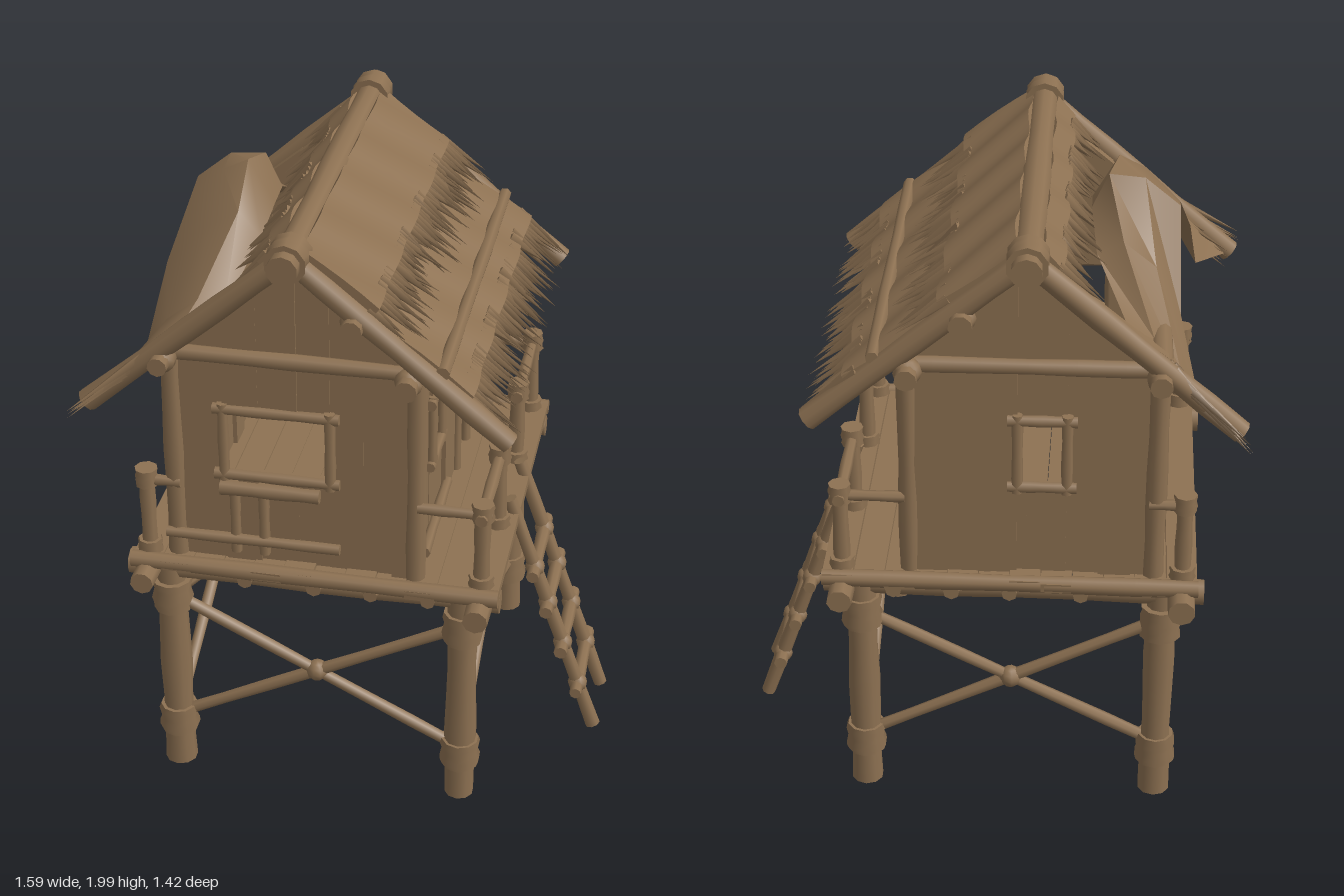
import * as THREE from 'three';
import { mergeGeometries, toCreasedNormals } from 'three/addons/utils/BufferGeometryUtils.js';

const wood = new THREE.MeshStandardMaterial({ color: 0x8d7152 });
wood.name = 'weatheredWood';
const thatchMat = new THREE.MeshStandardMaterial({ color: 0x8d7152, side: THREE.DoubleSide });
thatchMat.name = 'dryThatch';

let seed = 7;
const rand = (a = 0, b = 1) => {
  seed = (seed * 16807) % 2147483647;
  return a + (b - a) * (seed / 2147483647);
};
const V = (x, y, z) => new THREE.Vector3(x, y, z);
const UP = V(0, 1, 0);

function add(parent, name, geometry, material = wood) {
  const mesh = new THREE.Mesh(geometry, material);
  mesh.name = name;
  parent.add(mesh);
  return mesh;
}

// Slightly knobbly log between two points
function log(parent, name, a, b, r, sides = 9) {
  const len = a.distanceTo(b);
  const geo = new THREE.CylinderGeometry(r * 0.95, r, len, sides, 6);
  const p = geo.attributes.position, phase = rand(0, 6);
  for (let i = 0; i < p.count; i++) {
    const s = 1 + 0.07 * Math.sin(phase + (p.getY(i) / len) * 11);
    p.setX(i, p.getX(i) * s);
    p.setZ(i, p.getZ(i) * s);
  }
  const mesh = add(parent, name, geo);
  mesh.position.copy(a).lerp(b, 0.5);
  mesh.quaternion.setFromUnitVectors(UP, b.clone().sub(a).normalize());
  return mesh;
}

// Rope-like knot
function knot(parent, name, at, r) {
  const mesh = add(parent, name, new THREE.SphereGeometry(r, 9, 6));
  mesh.position.copy(at);
}

// Wall of upright planks in local (u, y), facing local +z, with framed openings
function plankWall(parent, name, breaks, top, openings, d, rotY) {
  const wall = new THREE.Group();
  wall.name = name;
  wall.rotation.y = rotY;
  parent.add(wall);
  const board = (u0, u1, ya, yb0, yb1) => {
    if (yb0 - ya < 0.01) return;
    const s = new THREE.Shape();
    s.moveTo(u0, ya).lineTo(u1, ya).lineTo(u1, yb1).lineTo(u0, yb0).closePath();
    const geo = new THREE.ExtrudeGeometry(s, { depth: 0.03, bevelEnabled: false });
    add(wall, 'wallPlank', geo).position.z = d - 0.015 + rand(-0.008, 0.008);
  };
  for (let i = 0; i < breaks.length - 1; i++) {
    const u0 = breaks[i], u1 = breaks[i + 1];
    const o = openings.find(q => u0 > q[0] - 0.001 && u1 < q[1] + 0.001);
    if (o) board(u0, u1, 0.82, o[2], o[2]);
    board(u0, u1, o ? o[3] : 0.82, top(u0), top(u1));
  }
  for (const [u0, u1, y0, y1] of openings) {
    const z = d + 0.02, r = 0.018;
    for (const u of [u0, u1]) log(wall, 'openingJamb', V(u, y0 - 0.02, z), V(u, y1 + 0.02, z), r, 7);
    for (const y of y0 > 0.9 ? [y0, y1] : [y1]) log(wall, 'openingRail', V(u0 - 0.03, y, z), V(u1 + 0.03, y, z), r, 7);
  }
  return wall;
}

// Thatch tier: thick sheet from a to b, then a ragged fringe reaching c
function thatch(parent, name, a, b, c, z0, z1, count) {
  const len = Math.hypot(b[0] - a[0], b[1] - a[1]);
  const geo = new THREE.BoxGeometry(len, 0.035, z1 - z0, 4, 1, 32);
  const p = geo.attributes.position;
  for (let i = 0; i < p.count; i++) p.setY(i, p.getY(i) + 0.008 * Math.sin(p.getZ(i) * 23 + p.getX(i) * 9));
  geo.rotateZ(Math.atan2(b[1] - a[1], b[0] - a[0]) + (b[0] < a[0] ? Math.PI : 0));
  geo.translate((a[0] + b[0]) / 2, (a[1] + b[1]) / 2, (z0 + z1) / 2);
  add(parent, name + 'Sheet', toCreasedNormals(geo, 0.7), thatchMat);
  const blades = [];
  for (let i = 0; i < count; i++) {
    const z = z0 + (z1 - z0) * (i + 0.5) / count, k = rand(0.45, 1.05);
    const from = V(b[0], b[1] + rand(-0.01, 0.01), z).lerp(V(a[0], a[1], z), 0.1);
    const to = V(b[0] + (c[0] - b[0]) * k, b[1] + (c[1] - b[1]) * k + rand(-0.015, 0.015), z + rand(-0.02, 0.02));
    blades.push(blade(from, to, rand(0.012, 0.022)));
  }
  add(parent, name + 'Fringe', mergeGeometries(blades), thatchMat);
}

function blade(from, to, r) {
  const geo = new THREE.ConeGeometry(r, from.distanceTo(to), 4);
  geo.applyQuaternion(new THREE.Quaternion().setFromUnitVectors(UP, to.clone().sub(from).normalize()));
  return geo.translate((from.x + to.x) / 2, (from.y + to.y) / 2, (from.z + to.z) / 2);
}

export function createModel() {
  const hut = new THREE.Group();
  hut.name = 'stiltHut';
  const XL = -0.55, XR = 0.385, Z = 0.53;

  // Stilts with lashings
  for (const x of [XL, XR]) for (const z of [-Z, Z]) {
    log(hut, 'stilt', V(x, 0, z), V(x, 0.78, z), 0.05, 10);
    log(hut, 'lowerLashing', V(x, 0.12, z), V(x, 0.22, z), 0.064, 10);
    log(hut, 'upperLashing', V(x, 0.61, z), V(x, 0.72, z), 0.064, 10);
  }
  // Cross braces on all four sides
  const brace = (x0, z0, x1, z1) => {
    log(hut, 'brace', V(x0, 0.18, z0), V(x1, 0.66, z1), 0.02, 7);
    log(hut, 'brace', V(x0, 0.66, z0), V(x1, 0.18, z1), 0.02, 7);
    knot(hut, 'braceKnot', V((x0 + x1) / 2, 0.42, (z0 + z1) / 2), 0.036);
  };
  for (const z of [-Z, Z]) brace(XL, z, XR, z);
  for (const x of [XL, XR]) brace(x, -Z, x, Z);

  // Deck frame, joists and boards
  for (const z of [-Z, Z]) {
    log(hut, 'deckBeam', V(-0.68, 0.77, z), V(0.5, 0.77, z), 0.04);
    log(hut, 'deckEdge', V(-0.66, 0.815, z * 1.1), V(0.5, 0.815, z * 1.1), 0.028);
  }
  for (const x of [-0.61, 0.44]) log(hut, 'deckBeam', V(x, 0.775, -0.66), V(x, 0.775, 0.66), 0.042);
  for (const x of [-0.3, -0.08, 0.1, 0.28]) log(hut, 'joist', V(x, 0.77, -0.58), V(x, 0.77, 0.58), 0.026, 7);
  for (let i = 0; i < 12; i++) {
    const m = add(hut, 'deckBoard', new THREE.BoxGeometry(0.094, 0.03, rand(1.16, 1.22)));
    m.position.set(-0.61 + i * 0.0965, 0.815 + rand(-0.006, 0.006), 0);
  }

  // Railings
  const railPost = (x, z) => {
    log(hut, 'railPost', V(x, 0.78, z), V(x, 1.13, z), 0.026, 8);
    log(hut, 'railLashing', V(x, 1.07, z), V(x, 1.13, z), 0.036, 8);
    log(hut, 'postFoot', V(x, 0.82, z), V(x, 0.87, z), 0.04, 8);
  };
  for (const s of [-1, 1]) {
    for (const [x, z] of [[0.44, 0.54], [0.44, 0.2], [-0.61, 0.54]]) railPost(x, z * s);
    log(hut, 'sideRail', V(0.44, 1.09, 0.16 * s), V(0.44, 1.09, 0.58 * s), 0.02, 7);
    log(hut, 'endRail', V(0.24, 1.09, 0.54 * s), V(0.47, 1.09, 0.54 * s), 0.018, 7);
    log(hut, 'endRail', V(-0.64, 1.09, 0.54 * s), V(-0.5, 1.09, 0.54 * s), 0.018, 7);
  }

  // Walls
  const gable = c => u => 1.93 - 0.83 * Math.abs(u - c);
  const front = plankWall(hut, 'frontWall', [-0.54, -0.45, -0.36, -0.25, -0.13, -0.03, 0.07, 0.16, 0.25],
    gable(-0.13), [[-0.36, -0.03, 1.14, 1.37]], 0.52, 0);
  log(front, 'frontLowRail', V(-0.55, 0.91, 0.55), V(0, 0.91, 0.55), 0.018, 7);
  log(front, 'frontSillRail', V(-0.37, 1.1, 0.555), V(-0.06, 1.1, 0.555), 0.024, 7);
  for (const x of [-0.33, -0.24]) log(front, 'frontBatten', V(x, 0.86, 0.54), V(x, 1.12, 0.54), 0.018, 7);
  plankWall(hut, 'backWall', [-0.25, -0.16, -0.07, 0.02, 0.1, 0.13, 0.25, 0.35, 0.45, 0.54],
    gable(0.13), [[0.1, 0.25, 1.14, 1.37]], 0.52, Math.PI);
  const right = plankWall(hut, 'rightWall', [-0.53, -0.46, -0.36, -0.27, -0.19, -0.1, 0, 0.12, 0.22, 0.31, 0.42, 0.53],
    () => 1.57, [[-0.36, -0.19, 1.14, 1.36], [0.12, 0.31, 0.82, 1.37]], 0.23, Math.PI / 2);
  log(right, 'rightLowRail', V(-0.5, 0.9, 0.255), V(-0.08, 0.9, 0.255), 0.018, 7);
  plankWall(hut, 'leftWall', [-0.53, -0.43, -0.31, -0.22, -0.12, 0, 0.1, 0.22, 0.32, 0.43, 0.53],
    () => 1.57, [[-0.31, -0.12, 1.11, 1.37]], 0.52, -Math.PI / 2);
  for (const x of [-0.52, 0.23]) for (const z of [-0.52, 0.52])
    log(hut, 'cornerPost', V(x, 0.82, z), V(x, 1.58, z), 0.034);

  // Roof frame
  log(hut, 'ridgePole', V(-0.13, 1.93, -0.69), V(-0.13, 1.93, 0.69), 0.046, 10);
  for (const [x, y] of [[0.06, 1.74], [0.22, 1.56], [-0.52, 1.56]])
    log(hut, 'purlin', V(x, y, -0.66), V(x, y, 0.66), 0.034);
  log(hut, 'thatchBinder', V(0.32, 1.605, -0.61), V(0.32, 1.605, 0.61), 0.022, 7);
  for (const s of [-1, 1]) {
    log(hut, 'rightRafter', V(-0.13, 1.93, 0.6 * s), V(0.52, 1.39, 0.6 * s), 0.036);
    log(hut, 'leftRafter', V(-0.13, 1.93, 0.6 * s), V(-0.76, 1.39, 0.6 * s), 0.036);
    log(hut, 'tieBeam', V(-0.56, 1.56, 0.55 * s), V(0.29, 1.56, 0.55 * s), 0.026, 8);
    log(hut, 'ridgeLashing', V(-0.13, 1.93, 0.56 * s), V(-0.13, 1.93, 0.65 * s), 0.062, 10);
    for (const [x, y] of [[0.06, 1.74], [0.22, 1.56], [-0.52, 1.56]])
      knot(hut, 'purlinKnot', V(x, y, 0.6 * s), 0.044);
  }

  // Right slope thatch, upper layer lapping over the lower
  thatch(hut, 'lowerThatch', [0.08, 1.765], [0.4, 1.52], [0.54, 1.41], -0.6, 0.6, 80);
  thatch(hut, 'upperThatch', [-0.1, 1.945], [0.12, 1.775], [0.28, 1.66], -0.6, 0.6, 64);
  // Remains of the left slope
  thatch(hut, 'leftThatch', [-0.16, 1.935], [-0.22, 1.875], [-0.35, 1.755], -0.56, 0.56, 50);

  // Torn thatch sheet, heaved up in the middle: [z, inner to outer x, y pairs]
  const end = [-0.5, 1.6, -0.58, 1.56, -0.66, 1.48, -0.74, 1.4];
  const sections = [
    [-0.56, ...end],
    [-0.4, -0.42, 1.62, -0.5, 1.58, -0.58, 1.48, -0.65, 1.33],
    [-0.2, -0.32, 1.76, -0.4, 1.8, -0.5, 1.72, -0.58, 1.56],
    [-0.04, -0.3, 1.84, -0.35, 1.95, -0.46, 1.94, -0.57, 1.85],
    [0.06, -0.3, 1.83, -0.38, 1.97, -0.46, 1.93, -0.57, 1.82],
    [0.2, -0.31, 1.78, -0.38, 1.86, -0.48, 1.8, -0.61, 1.67],
    [0.4, -0.38, 1.64, -0.46, 1.66, -0.56, 1.58, -0.64, 1.44],
    [0.56, ...end],
  ];
  const pos = [], idx = [];
  sections.forEach(([z, ...q], i) => {
    for (let j = 0; j < 4; j++) {
      pos.push(q[2 * j], q[2 * j + 1], z);
      if (i && j) {
        const b = i * 4 + j, a = b - 4;
        idx.push(a - 1, b - 1, a, a, b - 1, b);
      }
    }
  });
  const sheet = new THREE.BufferGeometry();
  sheet.setAttribute('position', new THREE.Float32BufferAttribute(pos, 3));
  sheet.setIndex(idx);
  add(hut, 'tornThatch', toCreasedNormals(sheet, 0.6), thatchMat);

  // Splayed tufts at the left eave corners
  const tufts = [];
  for (const s of [-1, 1]) for (let i = 0; i < 26; i++) {
    const t = rand(), k = rand(0.75, 1);
    const from = V(-0.5 - 0.06 * t, 1.57 + rand(-0.02, 0.02), s * (0.5 + 0.1 * t));
    const to = V(-0.66 - 0.14 * k + 0.05 * (1 - t), 1.44 - 0.06 * k + rand(-0.02, 0.03), s * (0.52 + 0.21 * t * k));
    tufts.push(blade(from, to, rand(0.014, 0.026)));
  }
  add(hut, 'eaveTufts', mergeGeometries(tufts), thatchMat);

  // Ladder
  for (const z of [-0.115, 0.115]) log(hut, 'ladderRail', V(0.775, 0.01, z), V(0.465, 0.88, z), 0.024, 8);
  for (const y of [0.175, 0.335, 0.49, 0.625]) {
    const x = 0.775 - (y - 0.01) * 0.356;
    log(hut, 'rung', V(x, y, -0.18), V(x, y, 0.18), 0.022, 8);
    for (const z of [-0.115, 0.115]) knot(hut, 'rungKnot', V(x, y, z), 0.033);
  }
  return hut;
}
